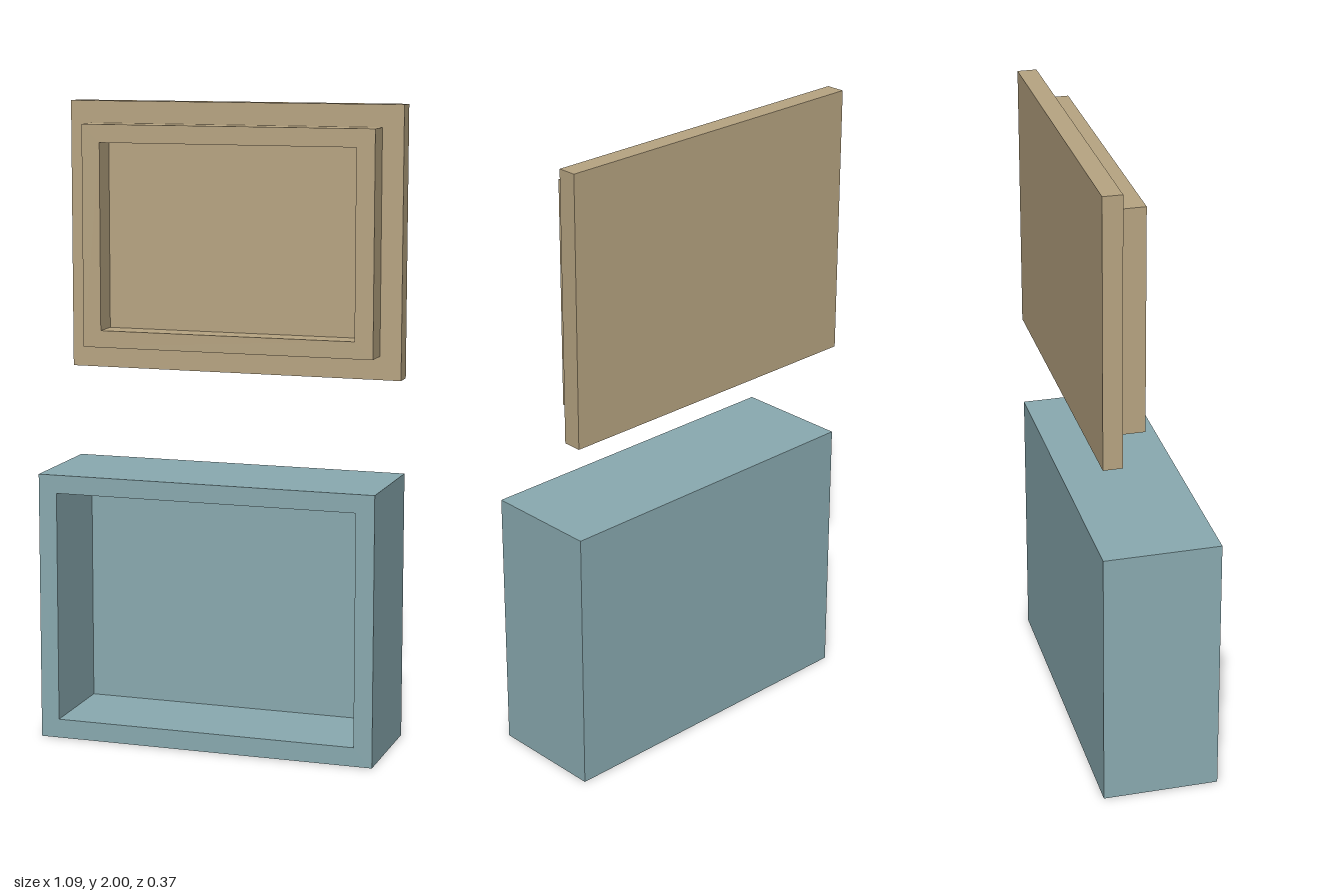
import * as THREE from 'three';

const BACK = -0.183, FLOOR = -0.123;

// Rectangle as a list of corners
function rect(halfWidth, bottom, top) {
  return [[-halfWidth, bottom], [halfWidth, bottom], [halfWidth, top], [-halfWidth, top]]
    .map(([x, y]) => new THREE.Vector2(x, y));
}

// Rectangular frame extruded along z from z0 to z1
function frame(name, outer, inner, z0, z1, material) {
  const shape = new THREE.Shape(rect(...outer));
  shape.holes.push(new THREE.Path(rect(...inner).reverse()));
  const geometry = new THREE.ExtrudeGeometry(shape, { depth: z1 - z0, bevelEnabled: false });
  geometry.translate(0, 0, z0);
  const mesh = new THREE.Mesh(geometry, material);
  mesh.name = name;
  return mesh;
}

// Flat panel filling the back layer
function panel(name, [halfWidth, bottom, top], material) {
  const mesh = new THREE.Mesh(
    new THREE.BoxGeometry(halfWidth * 2, top - bottom, FLOOR - BACK), material);
  mesh.position.set(0, (bottom + top) / 2, (BACK + FLOOR) / 2);
  mesh.name = name;
  return mesh;
}

export function createModel() {
  const teal = new THREE.MeshStandardMaterial({ color: 0x8aabb1 });
  teal.name = 'dusty teal';
  const tan = new THREE.MeshStandardMaterial({ color: 0xb8a582 });
  tan.name = 'tan';

  // Open-fronted box: walls and back
  const boxOuter = [0.543, 0, 0.85];
  const box = new THREE.Group();
  box.name = 'box';
  box.add(
    frame('boxWalls', boxOuter, [0.484, 0.06, 0.792], FLOOR, -BACK, teal),
    panel('boxBack', boxOuter, teal));

  // Lid above it: plate with a raised rim that fits into the box
  const lid = new THREE.Group();
  lid.name = 'lid';
  lid.add(
    panel('lidPlate', [0.543, 1.152, 2], tan),
    frame('lidRim', [0.475, 1.226, 1.93], [0.416, 1.28, 1.873], FLOOR, -0.038, tan));

  const model = new THREE.Group();
  model.name = 'boxWithLid';
  model.add(box, lid);
  return model;
}
